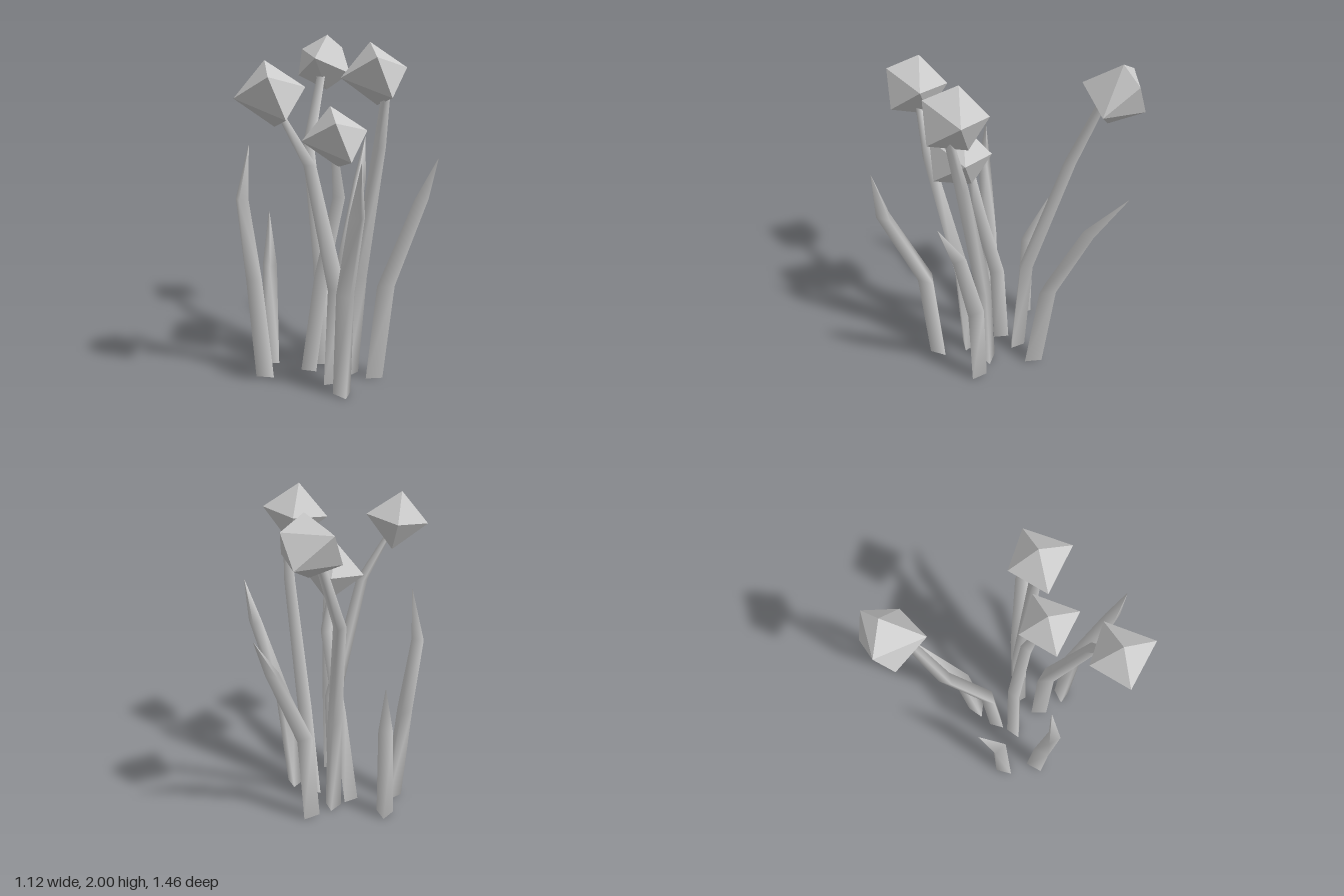
import * as THREE from 'three';
import { ConvexGeometry } from 'three/addons/geometries/ConvexGeometry.js';

const smooth = new THREE.MeshStandardMaterial({ color: 0xcccccc, side: THREE.DoubleSide });
const faceted = new THREE.MeshStandardMaterial({ color: 0xcccccc, flatShading: true });
const T = Math.PI / 3; // twist that puts a flat face where the ridge was

// Three-sided strand through rings [x, y, z, radius, twist]; an untwisted ridge faces the way it leans
function strand(rings) {
  const first = rings[0], last = rings[rings.length - 1];
  const lean = Math.atan2(last[2] - first[2], last[0] - first[0]);
  const pos = [], index = [];
  const addRing = ([x, y, z, r, twist = 0]) => {
    for (let i = 0; i < 3; i++) {
      const a = lean + twist + (i * 2 * Math.PI) / 3;
      pos.push(x + r * Math.cos(a), y, z + r * Math.sin(a));
    }
  };
  rings.forEach(addRing);
  for (let k = 0; k < rings.length - 1; k++) {
    for (let i = 0; i < 3; i++) {
      const p = k * 3 + i, p2 = k * 3 + ((i + 1) % 3);
      index.push(p, p + 3, p2, p2, p + 3, p2 + 3);
    }
  }
  // Flat foot with its own corners
  const c = rings.length * 3;
  addRing(first);
  index.push(c, c + 1, c + 2);
  const g = new THREE.BufferGeometry();
  g.setAttribute('position', new THREE.Float32BufferAttribute(pos, 3));
  g.setIndex(index);
  g.computeVertexNormals();
  return g;
}

// Five-sided double pyramid lying roughly along x: two tips, then the ring
const budShape = [
  [-0.185, -0.015, -0.045], [0.185, 0.04, -0.017],
  [-0.04, 0.1, 0.157], [-0.025, 0.178, -0.03], [0.01, 0.01, -0.182], [0.03, -0.167, -0.065], [0.05, -0.115, 0.15],
];
const budPoints = (cx, cy, cz) => budShape.map(([x, y, z]) => [cx + x, cy + y, cz + z]);

export function createModel() {
  const group = new THREE.Group();
  const add = (name, geometry, material) => {
    const mesh = new THREE.Mesh(geometry, material);
    mesh.name = name;
    group.add(mesh);
  };

  // Pointed leaves
  const leaves = {
    leafRight: [[-0.35, 0, 0.025, 0.062], [-0.408, 0.6, 0.03, 0.055], [-0.483, 1.08, 0.035, 0.043, T], [-0.435, 1.386, 0.035, 0.002, T]],
    leafSmall: [[-0.288, 0, -0.18, 0.06], [-0.28, 0.61, -0.22, 0.05, T], [-0.262, 0.925, -0.33, 0.002, T]],
    leafBackLeft: [[0.174, 0, -0.176, 0.062], [0.207, 0.58, -0.245, 0.058], [0.35, 1.08, -0.455, 0.047, T], [0.437, 1.34, -0.62, 0.002, T]],
    leafLeft: [[0.267, 0, 0.19, 0.058], [0.325, 0.57, 0.21, 0.06], [0.497, 1.09, 0.305, 0.046], [0.558, 1.33, 0.405, 0.002]],
    leafFront: [[0.025, 0, 0.405, 0.06], [0.03, 0.6, 0.455, 0.06], [0.03, 1.08, 0.675, 0.05], [0.03, 1.365, 0.73, 0.002]],
  };
  for (const [name, rings] of Object.entries(leaves)) add(name, strand(rings), smooth);

  // Bent stems
  const stems = {
    stemRight: [[0, 0, 0.215, 0.06], [0.015, 0.58, 0.25, 0.06], [-0.17, 1.32, 0.41, 0.04], [-0.33, 1.6, 0.44, 0.022]],
    stemLeft: [[0.138, 0, 0.108, 0.06, T], [0.185, 0.6, 0.13, 0.055, T], [0.265, 1.38, 0.25, 0.042, T], [0.28, 1.68, 0.31, 0.028, T]],
    stemFront: [[-0.075, 0, -0.005, 0.055], [-0.005, 0.6, 0.03, 0.05], [0.07, 1.09, 0.14, 0.042], [0.03, 1.36, 0.18, 0.022]],
    stemBack: [[0.03, 0, -0.09, 0.055], [0.02, 0.62, -0.14, 0.05], [0, 1.32, -0.385, 0.042], [0.11, 1.74, -0.515, 0.03]],
  };
  for (const [name, rings] of Object.entries(stems)) add(name, strand(rings), smooth);

  // Faceted buds; the back one is turned differently
  const buds = {
    budRight: budPoints(-0.375, 1.69, 0.443),
    budLeft: budPoints(0.233, 1.78, 0.275),
    budFront: budPoints(0.02, 1.435, 0.24),
    budBack: [
      [0.174, 2, -0.606], [0.03, 1.91, -0.708], [-0.01, 1.746, -0.63], [0.052, 1.857, -0.425],
      [0.292, 1.76, -0.484], [0.288, 1.92, -0.669], [0.226, 1.746, -0.731], [0.156, 1.656, -0.55],
    ],
  };
  for (const [name, pts] of Object.entries(buds)) {
    add(name, new ConvexGeometry(pts.map((p) => new THREE.Vector3(...p))), faceted);
  }
  return group;
}
